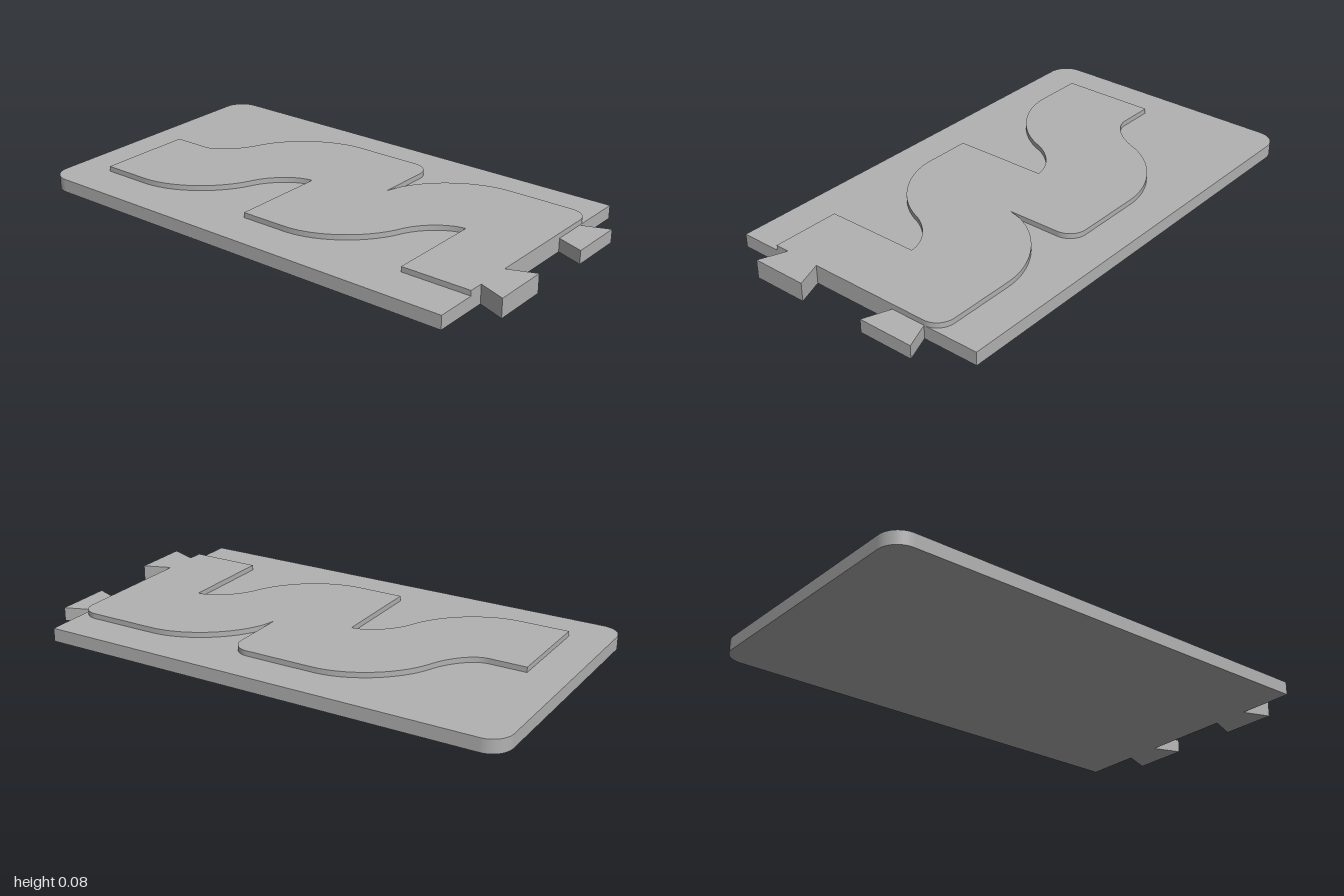
import * as THREE from 'three';

const PLATE_TOP = 0.054, RELIEF_TOP = 0.075, EDGE = 0.89;

// Plan drawn in (x, z); shape y is -z so that laying it flat restores z.
class Plan extends THREE.Shape {
  start(x, z) { this.moveTo(x, -z); this.at = [x, z]; return this; }
  line(...points) {
    for (const [x, z] of points) { this.lineTo(x, -z); this.at = [x, z]; }
    return this;
  }
  // rounded turn towards a corner, ending at (x, z)
  bend(cx, cz, x, z) {
    const k = 0.56, [ax, az] = this.at;
    this.bezierCurveTo(ax + (cx - ax) * k, -(az + (cz - az) * k),
      x + (cx - x) * k, -(z + (cz - z) * k), x, -z);
    this.at = [x, z];
    return this;
  }
}

function slab(name, plan, bottom, top, material) {
  const geometry = new THREE.ExtrudeGeometry(plan, { depth: top - bottom, bevelEnabled: false, curveSegments: 20 });
  geometry.rotateX(-Math.PI / 2);
  geometry.translate(0, bottom, 0);
  const mesh = new THREE.Mesh(geometry, material);
  mesh.name = name;
  return mesh;
}

export function createModel() {
  const grey = new THREE.MeshStandardMaterial({ color: 0xb2b2b2 });
  grey.name = 'grey';
  const model = new THREE.Group();
  model.name = 'interlockingTile';

  // Base plate, rounded at its -x corners
  const d = 0.56, r = 0.085;
  const plate = new Plan().start(EDGE, d).line([EDGE, -d], [-1 + r, -d])
    .bend(-1, -d, -1, -d + r).line([-1, d - r]).bend(-1, d, -1 + r, d).line([EDGE, d]);
  model.add(slab('basePlate', plate, 0, PLATE_TOP, grey));

  // Raised wave band: back edge, then joint edge, then front edge
  const wave = new Plan().start(-0.84, -0.005).line([-0.69, -0.005])
    .bend(-0.59, -0.005, -0.53, -0.16).bend(-0.435, -0.4, -0.18, -0.4)
    .line([0.1, -0.4]).bend(0.175, -0.4, 0.175, -0.325)
    .line([0.175, -0.105], [0.19, -0.16]).bend(0.285, -0.4, 0.54, -0.4)
    .line([0.815, -0.4]).bend(EDGE, -0.4, EDGE, -0.33)
    .line([EDGE, 0.39]);
  for (const x of [0.605, -0.115]) {
    wave.line([x, 0.39], [x, -0.005])
      .bend(x - 0.12, 0, x - 0.18, 0.14).bend(x - 0.27, 0.39, x - 0.525, 0.39);
  }
  wave.line([-0.84, 0.39], [-0.84, -0.005]);
  model.add(slab('raisedWave', wave, PLATE_TOP, RELIEF_TOP, grey));

  // Dovetail joint tabs; the front one meets the raised band
  for (const [name, z, top] of [['frontTab', 0.257, RELIEF_TOP], ['backTab', -0.257, PLATE_TOP]]) {
    const tab = new Plan().start(EDGE, z + 0.073)
      .line([1, z + 0.115], [1, z - 0.115], [EDGE, z - 0.073], [EDGE, z + 0.073]);
    model.add(slab(name, tab, 0, top, grey));
  }
  return model;
}
